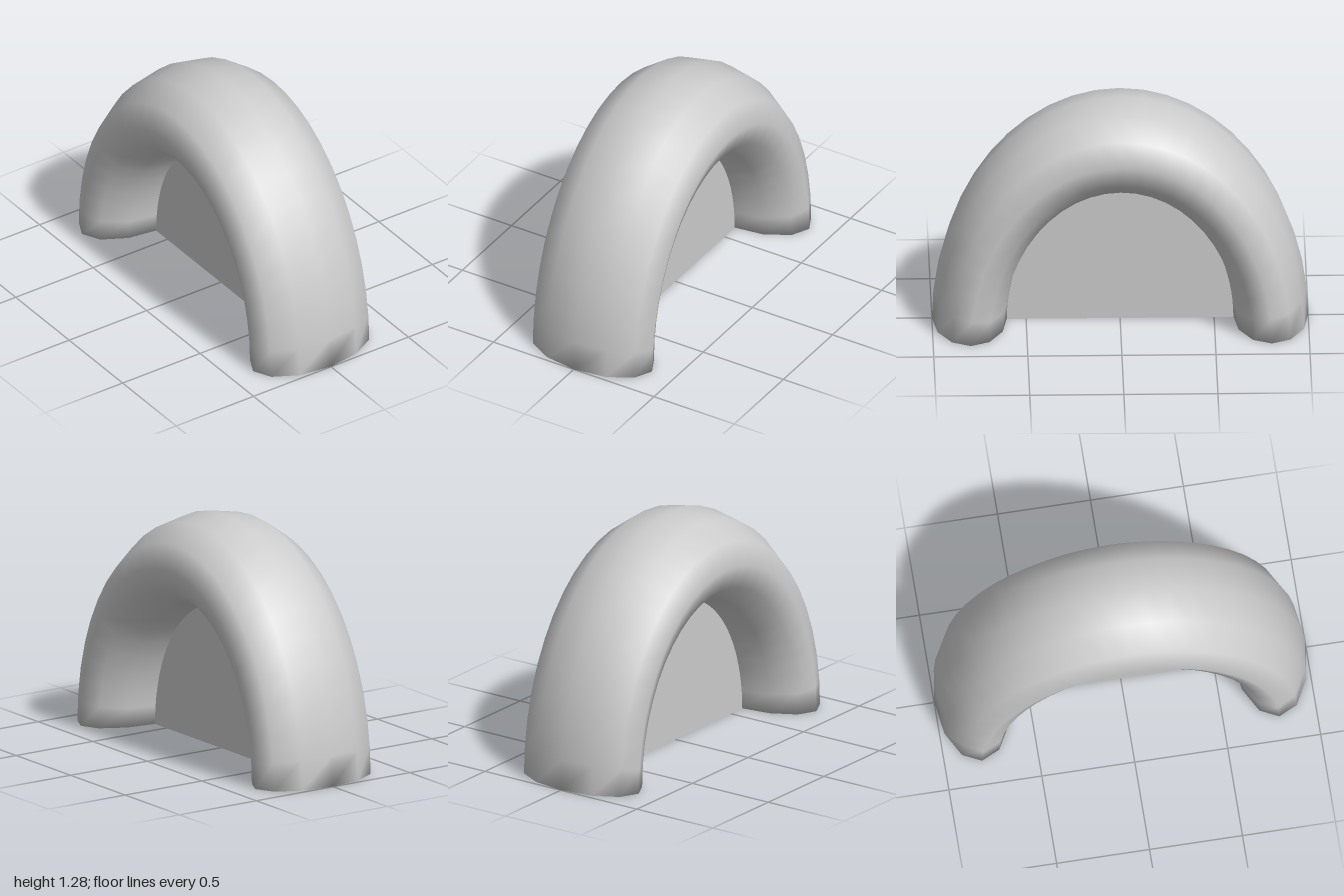
import * as THREE from 'three';

const ARC = 24;      // steps along the arch
const SIDES = 12;    // sides of the tube
const STRETCH = 1.285;

// Half ring with an elliptical section and closed, smooth-shaded ends
function archGeometry() {
  const pos = [], index = [];
  for (let i = 0; i <= ARC; i++) {
    const t = (i / ARC) * Math.PI;
    for (let j = 0; j < SIDES; j++) {
      const p = (j / SIDES) * Math.PI * 2;
      const r = 0.8 + 0.2 * Math.cos(p);
      pos.push(0.365 * Math.sin(p), STRETCH * r * Math.sin(t), r * Math.cos(t));
    }
  }
  for (let i = 0; i < ARC; i++) {
    for (let j = 0; j < SIDES; j++) {
      const k = (j + 1) % SIDES;
      const a = i * SIDES + j, b = i * SIDES + k;
      index.push(a, b, b + SIDES, a, b + SIDES, a + SIDES);
    }
  }
  // end caps
  const end = ARC * SIDES;
  for (let j = 1; j < SIDES - 1; j++) {
    index.push(0, j + 1, j, end, end + j, end + j + 1);
  }
  const g = new THREE.BufferGeometry();
  g.setAttribute('position', new THREE.Float32BufferAttribute(pos, 3));
  g.setIndex(index);
  g.computeVertexNormals();
  return g;
}

// Thin half-oval plate filling the opening
function panelGeometry() {
  const thickness = 0.044;
  const shape = new THREE.Shape();
  shape.absellipse(0, 0, 0.602, 0.602 * STRETCH, 0, Math.PI, false, 0);
  const g = new THREE.ExtrudeGeometry(shape, { depth: thickness, bevelEnabled: false, curveSegments: ARC });
  g.translate(0, 0, -thickness / 2);
  g.rotateY(Math.PI / 2);
  return g;
}

export function createModel() {
  const group = new THREE.Group();
  group.name = 'archWithPanel';
  const material = new THREE.MeshStandardMaterial({ color: 0xcccccc });

  const arch = new THREE.Mesh(archGeometry(), material);
  arch.name = 'arch';
  const panel = new THREE.Mesh(panelGeometry(), material);
  panel.name = 'innerPanel';

  group.add(arch, panel);
  return group;
}
